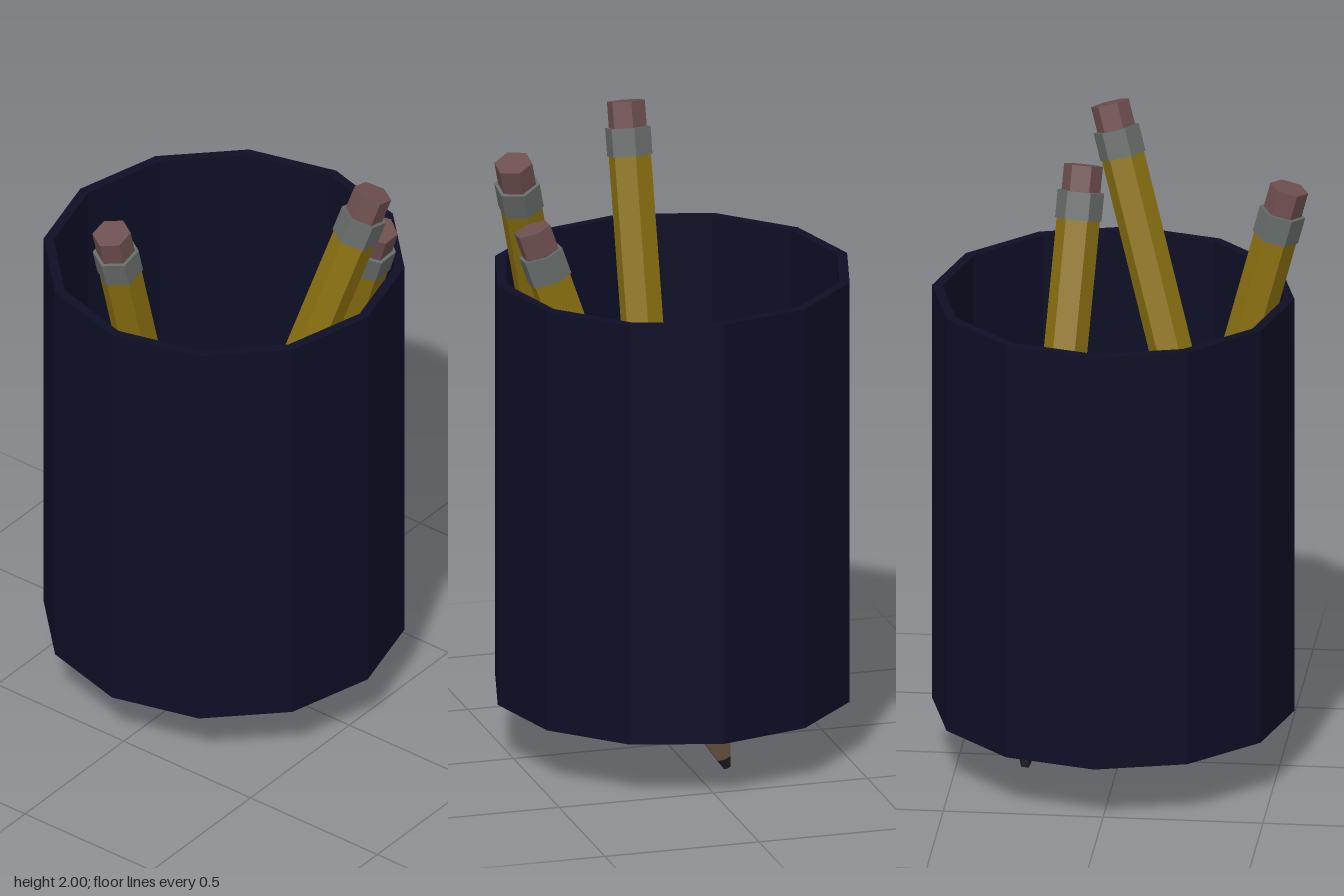
import * as THREE from 'three';

const mat = (name, color) => {
  const m = new THREE.MeshStandardMaterial({ color, flatShading: true });
  m.name = name;
  return m;
};

export function createModel() {
  const navy = mat('navy cup', 0x0e0e26);
  const yellow = mat('yellow paint', 0x8a7010);
  const pink = mat('eraser pink', 0x6e4f4f);
  const metal = mat('ferrule grey', 0x666b69);
  const wood = mat('bare wood', 0x705c48);
  const lead = mat('graphite', 0x1c1c1e);

  const model = new THREE.Group();
  model.name = 'pencilCup';

  // Twelve-sided cup wall, open at both ends
  const outer = 0.567, inner = 0.535, bottom = 0.19, top = 1.565;
  const profile = [[outer, bottom], [outer, top], [inner, top], [inner, bottom], [outer, bottom]]
    .map(([x, y]) => new THREE.Vector2(x, y));
  const cup = new THREE.Mesh(new THREE.LatheGeometry(profile, 12), navy);
  cup.name = 'cup';
  cup.position.set(0.02, 0, -0.01);
  model.add(cup);

  // Hexagonal pencil sections, measured upward from the tip:
  // name, material, bottom radius, top radius, start, end
  const length = 1.885;
  const sections = [
    ['leadTip', lead, 0.012, 0.024, 0, 0.035],
    ['woodCone', wood, 0.024, 0.068, 0.035, 0.165],
    ['body', yellow, 0.068, 0.068, 0.165, length - 0.17],
    ['ferrule', metal, 0.073, 0.073, length - 0.17, length - 0.082],
    ['eraser', pink, 0.061, 0.061, length - 0.082, length],
  ];

  const up = new THREE.Vector3(0, 1, 0);
  function addPencil(name, tip, end) {
    const pencil = new THREE.Group();
    pencil.name = name;
    for (const [part, material, r0, r1, y0, y1] of sections) {
      const geo = new THREE.CylinderGeometry(r1, r0, y1 - y0, 6, 1, false, Math.PI / 2);
      const mesh = new THREE.Mesh(geo, material);
      mesh.name = part;
      mesh.position.y = (y0 + y1) / 2;
      pencil.add(mesh);
    }
    const a = new THREE.Vector3(...tip), b = new THREE.Vector3(...end);
    pencil.position.copy(a);
    pencil.quaternion.setFromUnitVectors(up, b.sub(a).normalize());
    model.add(pencil);
  }

  // Three pencils leaning on the rim
  addPencil('rightPencil', [-0.05, 0.117, -0.023], [-0.532, 1.937, -0.023]);
  addPencil('frontPencil', [-0.41, 0.218, 0.1], [0.085, 1.982, 0.525]);
  addPencil('shortPencil', [0.285, 0.006, -0.108], [0.165, 1.787, 0.487]);

  return model;
}
